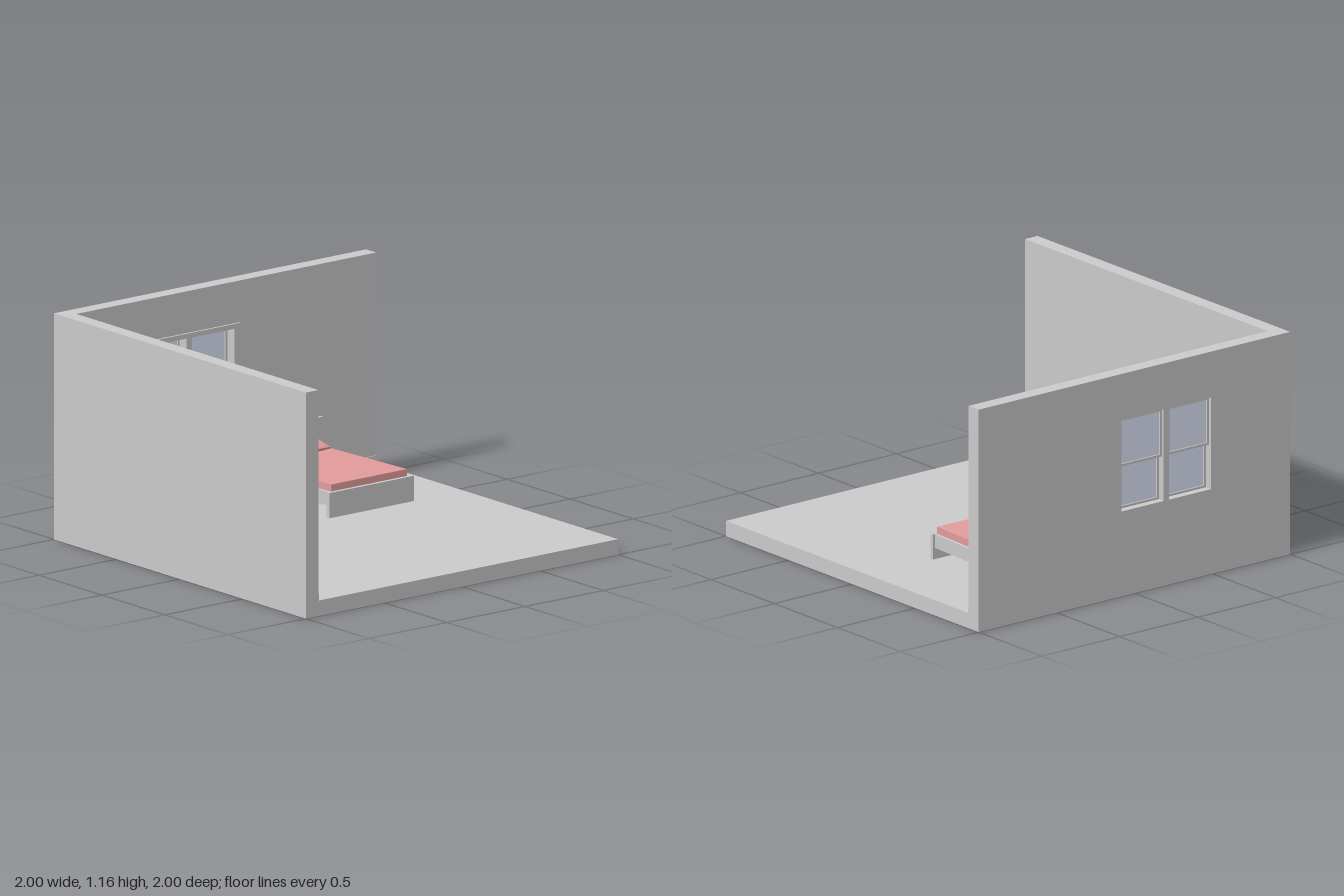
import * as THREE from 'three';
import { RoundedBoxGeometry } from 'three/addons/geometries/RoundedBoxGeometry.js';

const grey = new THREE.MeshStandardMaterial({ color: 0xcccccc });
const wood = new THREE.MeshStandardMaterial({ color: 0xbd9048 });
const cloth = new THREE.MeshStandardMaterial({ color: 0xe39c9c });
const glass = new THREE.MeshStandardMaterial({ color: 0xe0e8fb });

function add(parent, name, geometry, material = grey) {
  const mesh = new THREE.Mesh(geometry, material);
  mesh.name = name;
  parent.add(mesh);
  return mesh;
}

function group(parent, name) {
  const g = new THREE.Group();
  g.name = name;
  parent.add(g);
  return g;
}

// Box given by its limits on each axis
function box(parent, name, [x0, x1], [y0, y1], [z0, z1], material) {
  const mesh = add(parent, name, new THREE.BoxGeometry(x1 - x0, y1 - y0, z1 - z0), material);
  mesh.position.set((x0 + x1) / 2, (y0 + y1) / 2, (z0 + z1) / 2);
}

// Upright rectangular panel with rectangular openings [x0, x1, y0, y1]
function panel(parent, name, outer, openings, z0, z1) {
  const trace = (path, [x0, x1, y0, y1]) =>
    path.moveTo(x0, y0).lineTo(x1, y0).lineTo(x1, y1).lineTo(x0, y1).closePath();
  const shape = trace(new THREE.Shape(), outer);
  shape.holes = openings.map((o) => trace(new THREE.Path(), o));
  const geo = new THREE.ExtrudeGeometry(shape, { depth: z1 - z0, bevelEnabled: false });
  add(parent, name, geo.translate(0, 0, z0));
}

const openings = [[-0.49, -0.223, 0.445, 0.925], [-0.188, 0.083, 0.445, 0.925]];

function buildRoom(root) {
  const room = group(root, 'room');
  box(room, 'floor', [-1, 1], [0, 0.08], [-1, 1]);
  box(room, 'leftWall', [-1, -0.92], [0.08, 1.165], [-0.92, 1]);
  panel(room, 'backWall', [-1, 1, 0.08, 1.165], openings, -1, -0.92);
  box(room, 'leftBaseboard', [-0.92, -0.915], [0.08, 0.12], [-0.915, 1]);
  box(room, 'backBaseboard', [-0.92, 1], [0.08, 0.12], [-0.92, -0.915]);
}

function buildWindow(root) {
  const win = group(root, 'window');
  panel(win, 'casing', [-0.525, 0.12, 0.415, 0.95], openings, -0.92, -0.909);
  // Upper sashes sit towards the outside, lower sashes towards the inside
  for (const [x0, x1, y0, y1] of openings) {
    for (const [name, a, b, z] of [['upperSash', 0.675, y1, -0.975], ['lowerSash', y0, 0.692, -0.95]]) {
      const t = 0.012;
      panel(win, name, [x0, x1, a, b], [[x0 + t, x1 - t, a + t, b - t]], z - 0.011, z + 0.011);
      box(win, name + 'Glass', [x0 + t, x1 - t], [a + t, b - t], [z - 0.003, z + 0.003], glass);
    }
  }
}

function buildDesk(root) {
  const desk = group(root, 'desk');
  box(desk, 'deskTop', [-0.912, -0.618], [0.355, 0.372], [-0.578, 0.018], wood);
  for (const x of [-0.903, -0.628])
    for (const z of [-0.57, 0.01])
      box(desk, 'deskLeg', [x - 0.012, x + 0.012], [0.08, 0.37], [z - 0.012, z + 0.012], wood);
}

// Pillow: thick in the middle, thin at the rim
function pillowGeometry(w, d, h) {
  const geo = new THREE.BoxGeometry(w, h, d, 14, 2, 12);
  const p = geo.attributes.position;
  for (let i = 0; i < p.count; i++) {
    const u = Math.min(1, Math.abs(p.getX(i)) / (w / 2));
    const v = Math.min(1, Math.abs(p.getZ(i)) / (d / 2));
    const puff = Math.sqrt((1 - u ** 4) * (1 - v ** 4));
    p.setY(i, p.getY(i) * (0.3 + 0.7 * puff));
  }
  geo.computeVertexNormals();
  return geo;
}

function buildBed(root) {
  const bed = group(root, 'bed');
  box(bed, 'headboard', [0.09, 0.63], [0.08, 0.387], [-0.908, -0.886]);
  box(bed, 'footboard', [0.09, 0.63], [0.1, 0.23], [-0.185, -0.163]);
  // Rails and mattress lean slightly down towards the head
  const frame = group(bed, 'bedFrame');
  frame.position.set(0.36, 0.22, -0.536);
  frame.rotation.x = -0.026;
  for (const s of [-1, 1])
    box(frame, 'sideRail', [s * 0.25 - 0.01, s * 0.25 + 0.01], [-0.07, 0], [-0.352, 0.352]);
  box(frame, 'mattress', [-0.243, 0.243], [0, 0.036], [-0.354, 0.354], cloth);
  for (const x of [0.247, 0.473]) {
    const pillow = add(bed, 'pillow', pillowGeometry(0.195, 0.14, 0.036), cloth);
    pillow.position.set(x, 0.279, -0.818);
    pillow.rotation.x = 0.2;
  }
}

// Chair, facing -x, centred on z = 0 of its own group
function buildChair(root) {
  const chair = group(root, 'chair');
  chair.position.z = -0.28;

  // Seat with rounded rear corners
  const s = new THREE.Shape();
  s.moveTo(-0.63, -0.085).lineTo(-0.505, -0.085).quadraticCurveTo(-0.475, -0.08, -0.47, -0.05);
  s.lineTo(-0.47, 0.05).quadraticCurveTo(-0.475, 0.08, -0.505, 0.085).lineTo(-0.63, 0.085).closePath();
  const seat = new THREE.ExtrudeGeometry(s, {
    depth: 0.012, bevelThickness: 0.005, bevelSize: 0.005, bevelOffset: -0.005, bevelSegments: 3,
  });
  add(chair, 'seat', seat.rotateX(-Math.PI / 2).translate(0, 0.273, 0));
  const apron = add(chair, 'apron', new RoundedBoxGeometry(0.13, 0.02, 0.14, 2, 0.004));
  apron.position.set(-0.55, 0.261, 0);

  for (const side of [-1, 1]) {
    const leg = add(chair, 'frontLeg', new THREE.CylinderGeometry(0.01, 0.007, 0.19, 10));
    leg.position.set(-0.615, 0.175, side * 0.074);
    // Each rear leg sweeps up into a back post
    const path = new THREE.CatmullRomCurve3([
      [-0.457, 0.08, 0.08], [-0.466, 0.18, 0.078], [-0.472, 0.28, 0.077],
      [-0.46, 0.36, 0.07], [-0.448, 0.44, 0.066], [-0.444, 0.505, 0.07],
    ].map(([x, y, z]) => new THREE.Vector3(x, y, side * z)));
    add(chair, 'backPost', new THREE.TubeGeometry(path, 24, 0.007, 8));
    for (const t of [0, 1]) {
      const cap = add(chair, 'postEnd', new THREE.CylinderGeometry(0.007, 0.007, 0.002, 8));
      cap.position.copy(path.getPoint(t));
    }
  }

  // Back slats bowed towards the rear
  for (const [name, x, y, h, half] of [['topRail', -0.444, 0.498, 0.022, 0.075], ['backSlat', -0.458, 0.366, 0.018, 0.068]]) {
    const geo = new THREE.BoxGeometry(0.009, h, half * 2, 1, 1, 12);
    const p = geo.attributes.position;
    for (let i = 0; i < p.count; i++)
      p.setX(i, p.getX(i) + 0.012 * (1 - (p.getZ(i) / half) ** 2));
    geo.computeVertexNormals();
    add(chair, name, geo).position.set(x, y, 0);
  }
}

export function createModel() {
  const root = new THREE.Group();
  root.name = 'bedroom';
  buildRoom(root);
  buildWindow(root);
  buildDesk(root);
  buildBed(root);
  buildChair(root);
  return root;
}
